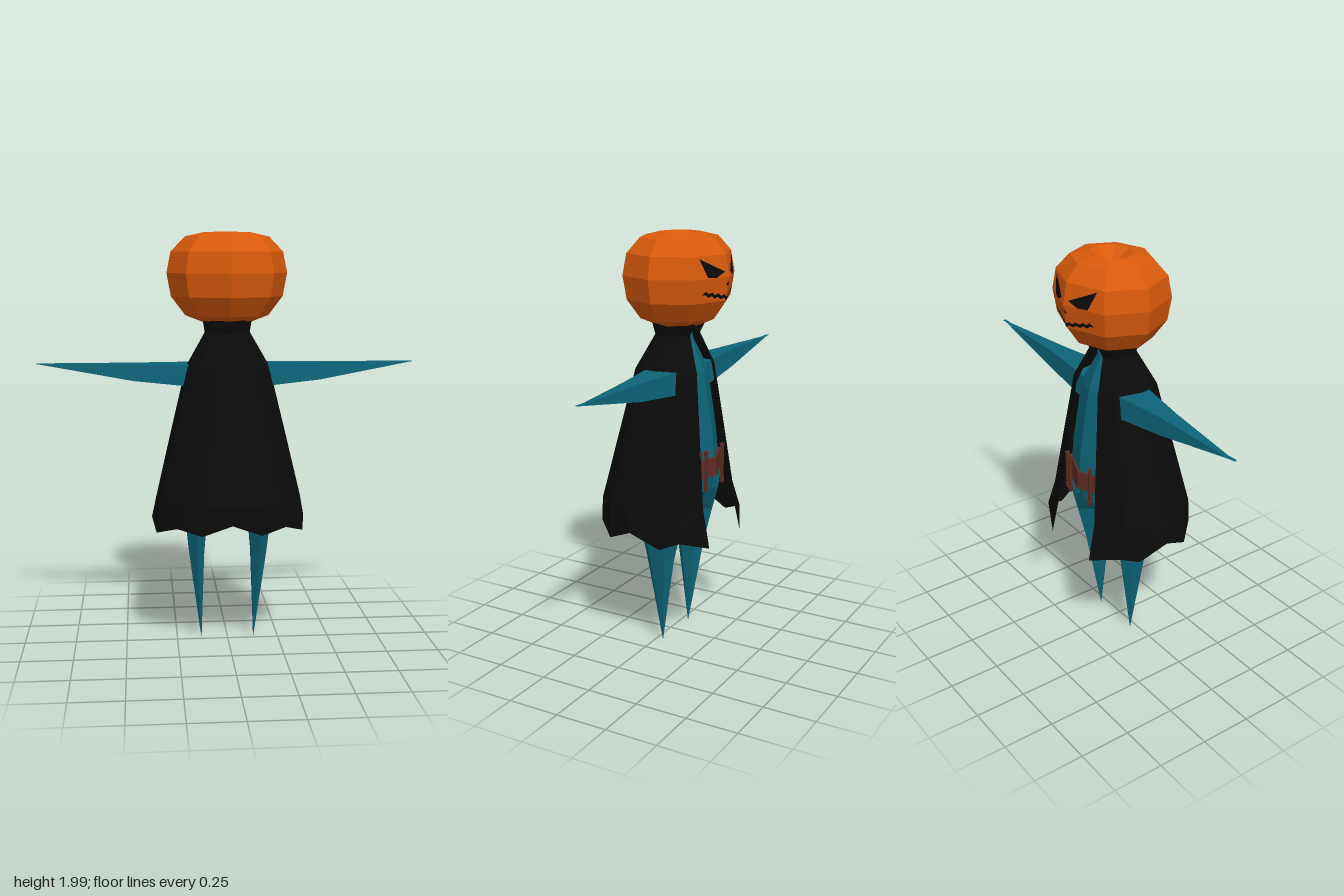
import * as THREE from 'three';

const paint = (color) => new THREE.MeshStandardMaterial({ color, flatShading: true, side: THREE.DoubleSide });
const ORANGE = paint(0xd95a0c), BLACK = paint(0x0b0b0b), TEAL = paint(0x0d6478), BROWN = paint(0x5e2c24);

// Skin a list of rings (arrays of [x, y, z]) with quads; side = -1 mirrors in x
function loft(rings, closed = true, side = 1) {
  const pos = [];
  const put = (...pts) => {
    if (side < 0) pts.reverse();
    pts.forEach(([x, y, z]) => pos.push(x * side, y, z));
  };
  const n = rings[0].length;
  for (let i = 0; i < rings.length - 1; i++) {
    for (let j = 0; j < (closed ? n : n - 1); j++) {
      const k = (j + 1) % n, lo = rings[i], hi = rings[i + 1];
      put(lo[j], lo[k], hi[k]);
      put(lo[j], hi[k], hi[j]);
    }
  }
  const g = new THREE.BufferGeometry();
  g.setAttribute('position', new THREE.Float32BufferAttribute(pos, 3));
  g.computeVertexNormals();
  return g;
}

// Horizontal elliptical ring
function ring(n, y, cx, cz, rx, rz) {
  return Array.from({ length: n }, (_, i) => {
    const t = (i / n) * Math.PI * 2;
    return [cx + rx * Math.sin(t), y, cz + rz * Math.cos(t)];
  });
}

// Pumpkin profile: [radius, height]
const HEAD = [[0, 1.61], [0.11, 1.575], [0.2, 1.61], [0.268, 1.7], [0.288, 1.81],
  [0.268, 1.91], [0.2, 1.98], [0.11, 2.0], [0, 1.93]];
const HEAD_Z = -0.047, SQUASH = 0.9;

// Depth of the front pumpkin facets at (x, y)
function faceZ(x, y) {
  const i = HEAD.findIndex((p, k) => k > 1 && p[1] >= y);
  const [r0, y0] = HEAD[i - 1], [r1, y1] = HEAD[i];
  const r = r0 + ((r1 - r0) * (y - y0)) / (y1 - y0);
  return HEAD_Z - SQUASH * (r - Math.abs(x) * 0.414) - 0.004;
}

// Flat carving that lies on the pumpkin
function carving(points, side) {
  const shape = new THREE.Shape(points.map(([x, y]) => new THREE.Vector2(x * side, y)));
  const g = new THREE.ShapeGeometry(shape);
  const p = g.attributes.position;
  for (let i = 0; i < p.count; i++) p.setZ(i, faceZ(p.getX(i), p.getY(i)));
  g.computeVertexNormals();
  return g;
}

export function createModel() {
  const model = new THREE.Group();
  const add = (name, geometry, material, parent = model) => {
    const m = new THREE.Mesh(geometry, material);
    m.name = name;
    parent.add(m);
    return m;
  };

  // Pumpkin head with a dimple on top
  const head = add('pumpkinHead', new THREE.LatheGeometry(HEAD.map((p) => new THREE.Vector2(...p)), 8), ORANGE);
  head.scale.z = SQUASH;
  head.position.z = HEAD_Z;

  // Half of the jagged grin
  const upper = [], lower = [];
  for (let i = 0; i <= 8; i++) {
    const x = 0.018 * i, y = 1.715 + 0.0035 * i, zig = i % 2 ? 0.006 : -0.004;
    const open = i === 8 ? 0.001 : 0.008;
    upper.push([x, y + zig + open]);
    lower.unshift([x, y + zig - open]);
  }

  // Cloak columns from behind round to the opening: [x, z, hem height]
  const columns = [[0, 0.295, 0.655], [0.14, 0.27, 0.6], [0.255, 0.235, 0.632], [0.35, 0.13, 0.59],
    [0.37, 0.01, 0.64], [0.34, -0.13, 0.572], [0.315, -0.225, 0.61], [0.16, -0.3, 0.55]];
  // Cloak rows: [height, half width, centre z, half depth]
  const rows = [[0.74, 0.35, 0.02, 0.28], [1.05, 0.277, 0, 0.225], [1.37, 0.2, -0.02, 0.168],
    [1.53, 0.108, -0.035, 0.095], [1.59, 0.118, -0.04, 0.12]];
  const cloakRings = [columns.map(([x, z, y]) => [x, y, z])];
  rows.forEach(([y, w, cz, d]) => cloakRings.push(
    columns.map(([x, z]) => [(x / 0.37) * w, y, cz + (z / 0.3) * d])));

  // Leg rings: [height, centre x, centre z, x radius, z radius]
  const legRings = [[0.01, 0.13, -0.03, 0.001, 0.001], [0.45, 0.153, -0.03, 0.042, 0.075],
    [0.63, 0.155, -0.03, 0.06, 0.12], [0.76, 0.12, -0.035, 0.115, 0.165], [0.86, 0.115, -0.035, 0.115, 0.18]]
    .map(([y, cx, cz, rx, rz]) => ring(6, y, cx, cz, rx, rz));

  // Arm rings: [x, bottom, back z, front z]
  const armRings = [[0.1, 1.27, -0.145, 0.055], [0.45, 1.3, -0.11, -0.01], [0.915, 1.378, -0.086, -0.084]]
    .map(([x, b, z0, z1]) => [[x, b, z0], [x, 1.38, z0 + 0.01], [x, 1.38, z1 - 0.01], [x, b, z1]]);

  for (const side of [1, -1]) {
    const s = side > 0 ? 'left' : 'right';
    add(s + 'Cloak', loft(cloakRings, false, side), BLACK);
    add(s + 'Leg', loft(legRings, true, side), TEAL);
    add(s + 'Arm', loft(armRings, true, side), TEAL);
    add(s + 'Eye', carving([[0.025, 1.835], [0.075, 1.812], [0.125, 1.815], [0.158, 1.9]], side), BLACK);
    add(s + 'Nostril', carving([[0.004, 1.775], [0.016, 1.77], [0.008, 1.792]], side), BLACK);
    add(s + 'Mouth', carving([...upper, ...lower], side), BLACK);
  }

  // Torso from hips to neck: [height, half width, half depth]
  const torso = [[0.72, 0.06, 0.1], [0.78, 0.2, 0.18], [0.9, 0.222, 0.205], [1.05, 0.205, 0.195],
    [1.36, 0.165, 0.145], [1.5, 0.075, 0.085], [1.6, 0.05, 0.07]];
  add('torso', loft(torso.map(([y, w, d]) => ring(8, y, 0, -0.035, w, d))), TEAL);

  // Belt with three small daggers tucked in it
  const belt = [[0.86, 0.222], [0.86, 0.234], [0.95, 0.228], [0.95, 0.216]];
  add('belt', loft(belt.map(([y, r]) => ring(8, y, 0, -0.035, r, r * 0.935))), BROWN);
  for (const x of [0.12, 0.08, -0.085]) {
    const dagger = new THREE.Group();
    dagger.name = 'dagger';
    dagger.position.set(x, 0.9, -0.262 + Math.abs(x) * 0.3);
    add('daggerShaft', new THREE.BoxGeometry(0.014, 0.17, 0.014), BROWN, dagger);
    for (const y of [-0.085, 0.085]) {
      add('daggerEnd', new THREE.CylinderGeometry(0.013, 0.011, 0.026, 6), BROWN, dagger).position.y = y;
    }
    model.add(dagger);
  }
  return model;
}
